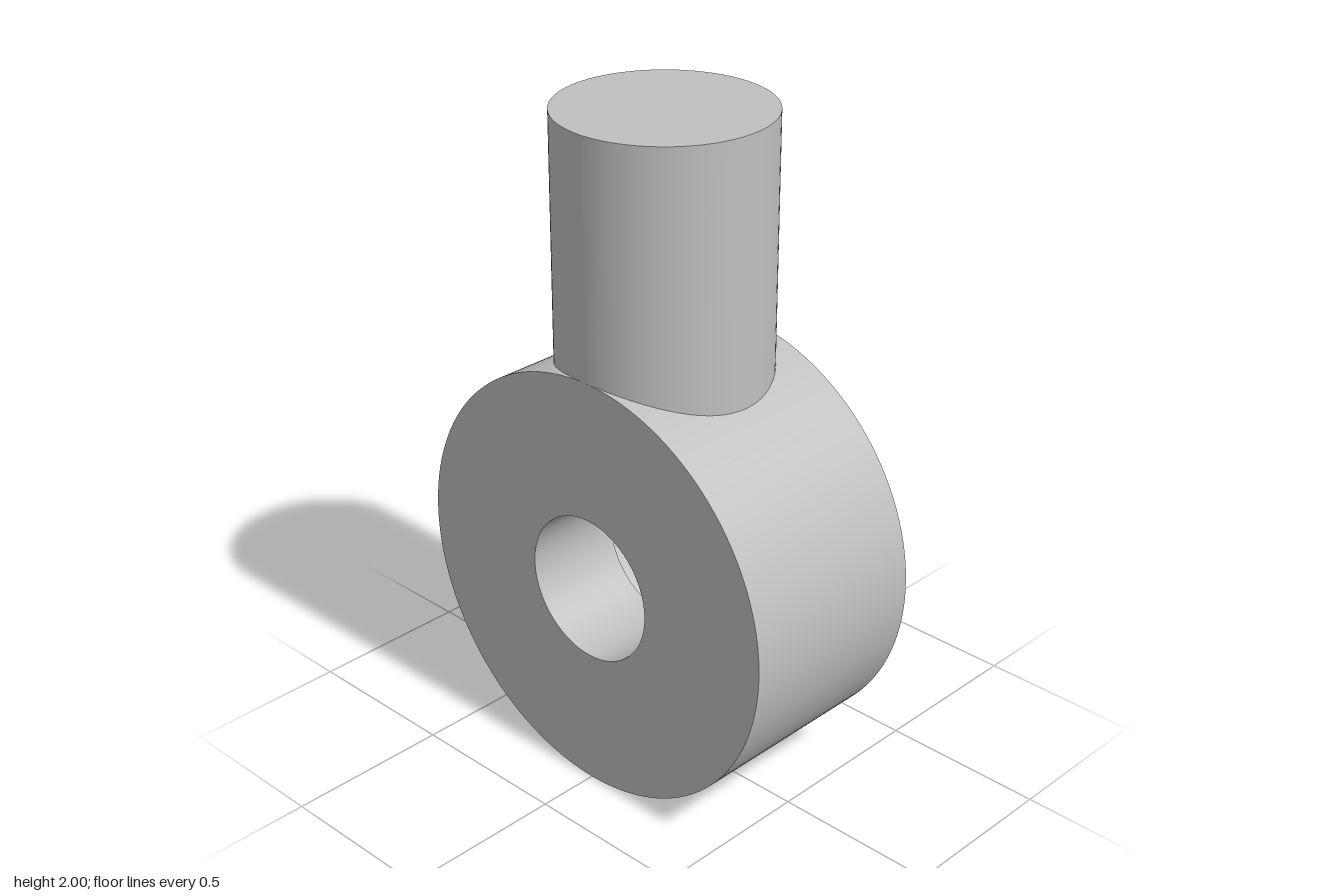
import * as THREE from 'three';
import { toCreasedNormals } from 'three/addons/utils/BufferGeometryUtils.js';

const R = 0.648;      // ring outer radius, also the height of its centre
const HALF = 0.31;    // half the ring depth, also the post radius
const BORE = 0.222;   // through hole radius
const RECESS = 0.533; // rear counterbore radius
const TOP = 2;

export function createModel() {
  const model = new THREE.Group();
  model.name = 'rodEnd';
  const steel = new THREE.MeshStandardMaterial({ color: 0xc0c0c0 });
  steel.name = 'grey steel';

  // Ring: closed profile with a through hole and a recess open to the back
  const profile = [
    [RECESS, -HALF], [R, -HALF], [R, HALF], [BORE, HALF],
    [BORE, 0], [RECESS, 0], [RECESS, -HALF],
  ].map(([r, z]) => new THREE.Vector2(r, z));
  const ringGeometry = new THREE.LatheGeometry(profile, 128);
  ringGeometry.rotateX(Math.PI / 2);
  const ring = new THREE.Mesh(toCreasedNormals(ringGeometry, 0.6), steel);
  ring.name = 'ring';
  ring.position.y = R;
  model.add(ring);

  // Post: its lower edge is shaped to sit on the curved ring
  const postGeometry = new THREE.CylinderGeometry(HALF, HALF, 1, 96, 1, true);
  const p = postGeometry.attributes.position;
  for (let i = 0; i < p.count; i++) {
    const x = p.getX(i);
    p.setY(i, p.getY(i) > 0 ? TOP : R + Math.sqrt(R * R - x * x) - 0.005);
  }
  const post = new THREE.Mesh(postGeometry, steel);
  post.name = 'post';
  model.add(post);

  // Flat end of the post
  const cap = new THREE.Mesh(new THREE.CircleGeometry(HALF, 96).rotateX(-Math.PI / 2), steel);
  cap.name = 'postEnd';
  cap.position.y = TOP;
  model.add(cap);

  return model;
}
